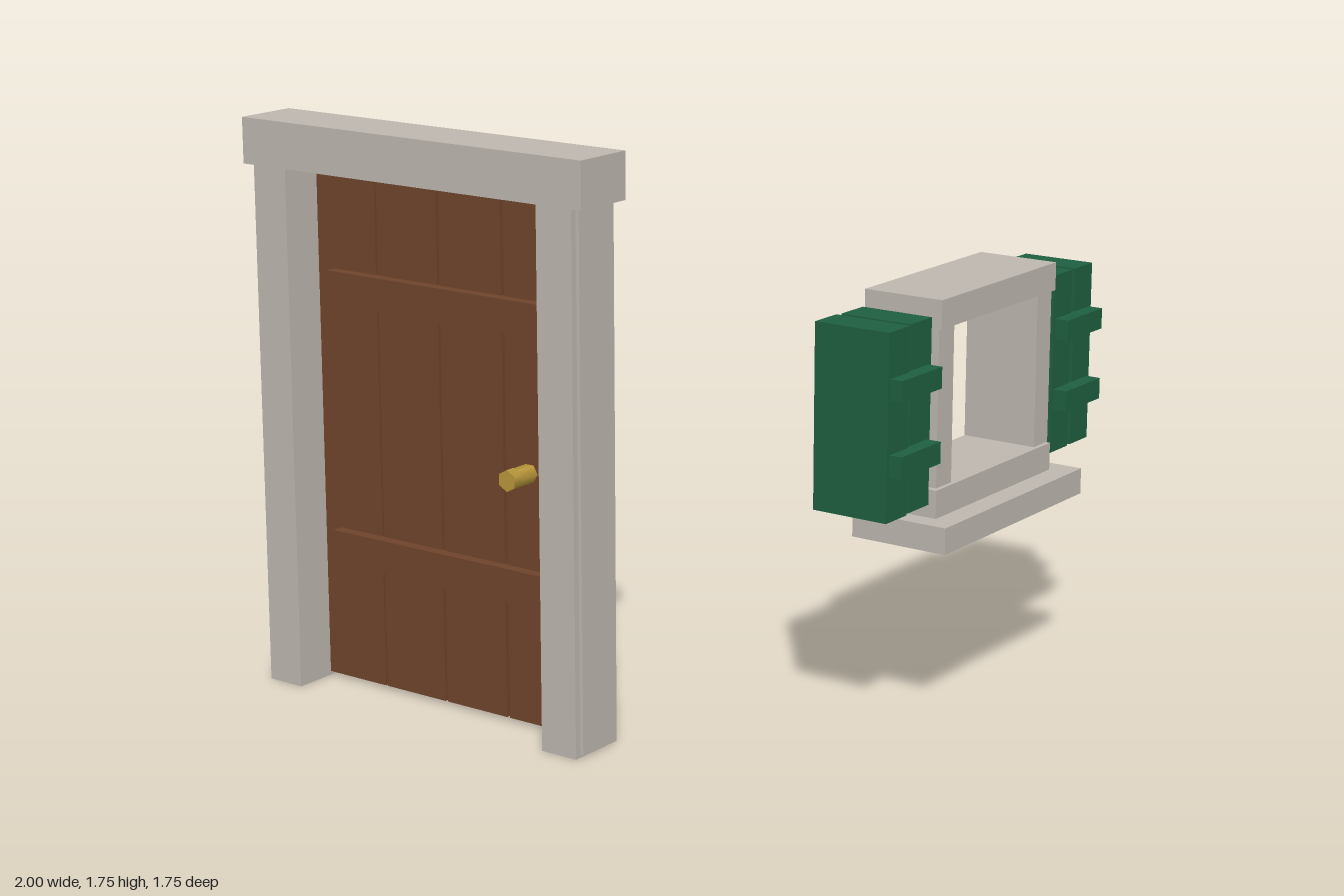
import * as THREE from 'three';

const mat = (name, color) => {
  const m = new THREE.MeshStandardMaterial({ color });
  m.name = name;
  return m;
};

export function createModel() {
  const stone = mat('stone', 0xbdb7af);
  const wood = mat('brownWood', 0x6e442b);
  const green = mat('greenPaint', 0x1f5f40);
  const brass = mat('brass', 0xb8963a);

  const model = new THREE.Group();
  model.name = 'doorAndWindow';
  const group = (name) => {
    const g = new THREE.Group();
    g.name = name;
    model.add(g);
    return g;
  };

  // Box given by its extents on each axis
  const box = (parent, name, material, [x0, x1], [y0, y1], [z0, z1]) => {
    const geo = new THREE.BoxGeometry(x1 - x0, y1 - y0, z1 - z0);
    const mesh = new THREE.Mesh(geo, material);
    mesh.position.set((x0 + x1) / 2, (y0 + y1) / 2, (z0 + z1) / 2);
    mesh.name = name;
    parent.add(mesh);
  };

  // Door frame: lintel and two posts, each with a raised strip outside
  const frame = group('doorFrame');
  box(frame, 'doorLintel', stone, [-1, 0.272], [1.61, 1.75], [0.67, 0.872]);
  box(frame, 'rightPost', stone, [-0.96, -0.835], [0, 1.61], [0.677, 0.87]);
  box(frame, 'rightPostStrip', stone, [-0.972, -0.95], [0.01, 1.61], [0.73, 0.85]);
  box(frame, 'leftPost', stone, [0.11, 0.235], [0, 1.61], [0.677, 0.87]);
  box(frame, 'leftPostStrip', stone, [0.225, 0.246], [0.01, 1.61], [0.73, 0.85]);

  // Door leaf: four planks and two cross battens
  const door = group('door');
  const planks = [[-0.835, -0.608], [-0.6, -0.37], [-0.361, -0.13], [-0.119, 0.11]];
  for (const x of planks) box(door, 'doorPlank', wood, x, [0.012, 1.61], [0.648, 0.735]);
  for (const y of [[0.387, 0.488], [1.195, 1.296]]) {
    box(door, 'doorBatten', wood, [-0.775, 0.048], y, [0.725, 0.77]);
  }

  // Six-sided handle: stem and turned cap
  const handle = group('doorHandle');
  handle.position.set(-0.032, 0.782, 0);
  const hexagon = (name, radius, z0, z1, turn) => {
    const geo = new THREE.CylinderGeometry(radius, radius, z1 - z0, 6);
    geo.rotateY(turn).rotateX(Math.PI / 2);
    const mesh = new THREE.Mesh(geo, brass);
    mesh.position.z = (z0 + z1) / 2;
    mesh.name = name;
    handle.add(mesh);
  };
  hexagon('handleStem', 0.029, 0.725, 0.81, Math.PI / 6);
  hexagon('handleCap', 0.033, 0.81, 0.84, 0);

  // Window frame, facing +x
  const win = group('windowFrame');
  box(win, 'windowLintel', stone, [0.667, 0.93], [1.21, 1.296], [-0.613, 0.042]);
  box(win, 'frontJamb', stone, [0.675, 0.92], [0.735, 1.21], [-0.043, 0.04]);
  box(win, 'backJamb', stone, [0.675, 0.92], [0.735, 1.21], [-0.607, -0.525]);
  box(win, 'bottomRail', stone, [0.667, 0.925], [0.645, 0.73], [-0.616, 0.047]);
  box(win, 'windowSill', stone, [0.68, 0.998], [0.565, 0.645], [-0.685, 0.113]);

  // Shutters: two boards joined by two battens
  const shutter = (name, boards, battenZ) => {
    const g = group(name);
    boards.forEach(({ x, z }) => box(g, 'shutterBoard', green, x, [0.69, 1.248], z));
    for (const y of [[0.825, 0.89], [1.048, 1.112]]) {
      box(g, 'shutterBatten', green, [0.905, 0.957], y, battenZ);
    }
  };
  shutter('frontShutter', [
    { x: [0.675, 0.91], z: [0.065, 0.178] },
    { x: [0.668, 0.917], z: [0.194, 0.304] },
  ], [0.08, 0.292]);
  shutter('backShutter', [
    { x: [0.668, 0.912], z: [-0.748, -0.64] },
    { x: [0.675, 0.91], z: [-0.875, -0.767] },
  ], [-0.862, -0.65]);

  return model;
}
